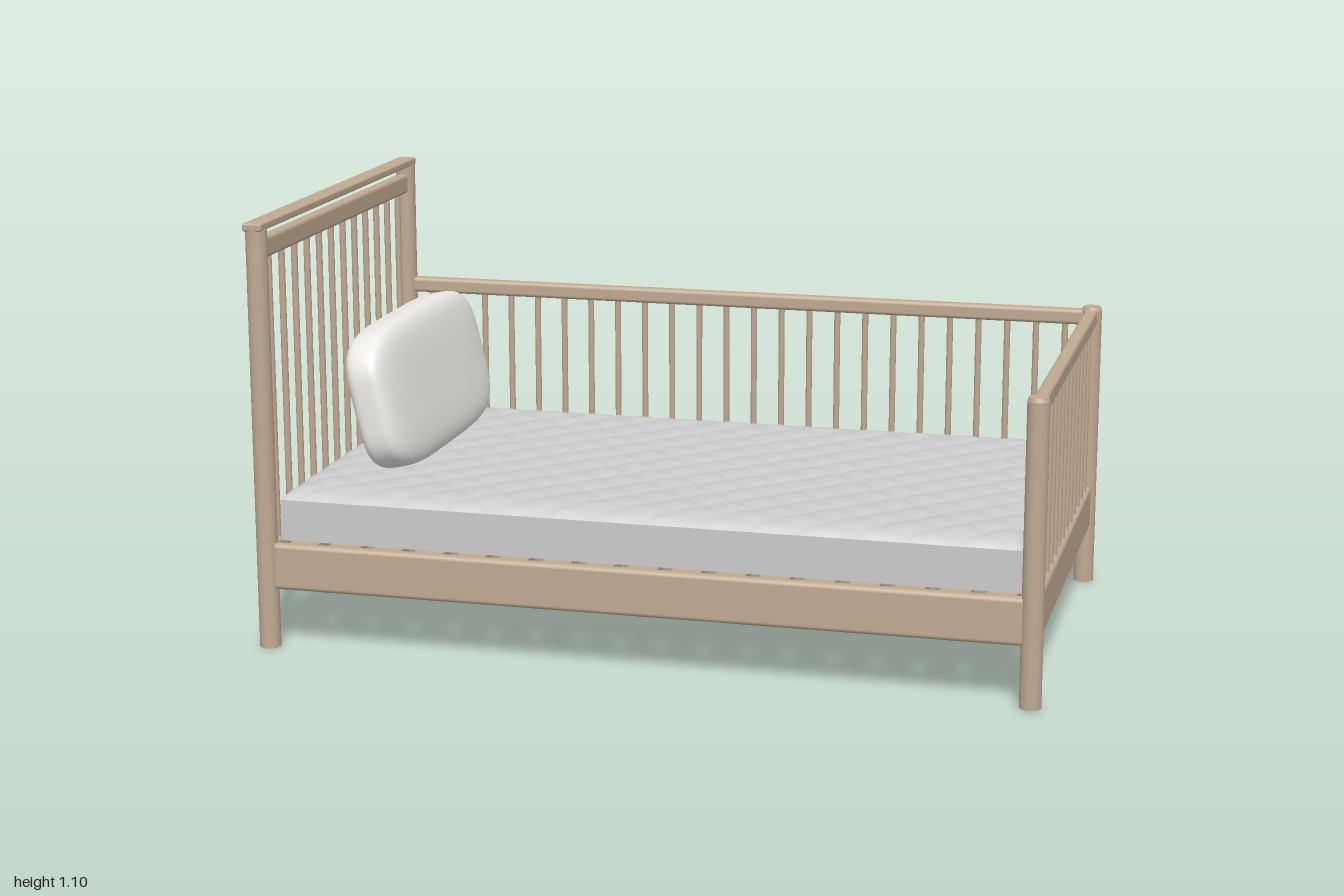
import * as THREE from 'three';
import { RoundedBoxGeometry } from 'three/addons/geometries/RoundedBoxGeometry.js';

export function createModel() {
  const bed = new THREE.Group();
  bed.name = 'bed';
  const wood = new THREE.MeshStandardMaterial({ color: 0xc0aa92 });
  const fabric = new THREE.MeshStandardMaterial({ color: 0xe4e4e1 });
  const linen = new THREE.MeshStandardMaterial({ color: 0xeceae6 });

  const add = (name, geometry, material, x, y, z) => {
    const mesh = new THREE.Mesh(geometry, material);
    mesh.name = name;
    mesh.position.set(x, y, z);
    bed.add(mesh);
    return mesh;
  };
  // Softly rounded bar, given by its centre in x and z and its y range
  const bar = (name, x, z, y0, y1, w, d, r = 0.008) =>
    add(name, new RoundedBoxGeometry(w, y1 - y0, d, 3, r), wood, x, (y0 + y1) / 2, z);
  const rod = (name, x, z, y0, y1, r, sides = 12) =>
    add(name, new THREE.CylinderGeometry(r, r, y1 - y0, sides), wood, x, (y0 + y1) / 2, z);

  const headX = -0.973, footX = 0.972, postZ = 0.545, sideZ = 0.546;

  // Round corner posts and the long lower rails
  for (const s of [-1, 1]) {
    rod('headPost', headX, s * postZ, 0, 1.078, 0.027, 32);
    rod('footPost', footX, s * postZ, 0, 0.755, 0.027, 32);
    const cap = rod('footPostCap', footX, s * postZ, 0.755, 0.765, 0.027, 32);
    cap.geometry.dispose();
    cap.geometry = new THREE.CylinderGeometry(0.023, 0.027, 0.01, 32);
    bar('lowerSideRail', 0, s * sideZ, 0.155, 0.275, 1.91, 0.032, 0.012);
  }

  // Headboard
  bar('headCap', -0.975, 0, 1.075, 1.095, 0.05, 1.144, 0.005);
  bar('headTopRail', headX, 0, 1.0, 1.055, 0.032, 1.05, 0.01);
  bar('headLowerRail', headX, 0, 0.155, 0.272, 0.032, 1.05, 0.012);
  for (let i = 0; i < 12; i++) {
    rod('headSpindle', headX, -0.473 + i * 0.086, 0.26, 1.01, 0.0085);
  }

  // Footboard
  bar('footTopRail', footX, 0, 0.715, 0.76, 0.034, 1.05, 0.01);
  bar('footLowerRail', footX, 0, 0.155, 0.272, 0.032, 1.05, 0.012);
  for (let i = 0; i < 13; i++) {
    rod('footSpindle', footX, -0.468 + i * 0.078, 0.26, 0.725, 0.0085);
  }

  // Guard rail along the back only
  bar('guardRail', 0, -sideZ, 0.715, 0.757, 1.91, 0.034, 0.01);
  for (let i = 0; i < 24; i++) {
    rod('guardSpindle', -0.9 + i * 0.0783, -sideZ, 0.26, 0.725, 0.0085);
  }

  // Slats under the mattress
  const slatCount = 17;
  for (let i = 0; i < slatCount; i++) {
    add('slat', new THREE.BoxGeometry(0.075, 0.018, 1.07), wood,
      -0.89 + (i * 1.78) / (slatCount - 1), 0.255, 0);
  }

  // Mattress: a box whose top is domed at the rim and quilted in diamonds
  const L = 1.89, W = 1.036;
  const mattress = new THREE.BoxGeometry(L, 0.106, W, 150, 1, 82);
  const p = mattress.attributes.position;
  for (let i = 0; i < p.count; i++) {
    if (p.getY(i) < 0) continue;
    const x = p.getX(i), z = p.getZ(i);
    const edge = Math.max(0, Math.min(L / 2 - Math.abs(x), W / 2 - Math.abs(z), 0.09) / 0.09);
    const rise = Math.sqrt(1 - (1 - edge) ** 2);
    const a = Math.sin((Math.PI * (x + z)) / 0.13), b = Math.sin((Math.PI * (x - z)) / 0.13);
    p.setY(i, 0.053 + rise * (0.02 + 0.009 * Math.sqrt(Math.abs(a * b))));
  }
  mattress.computeVertexNormals();
  add('mattress', mattress, fabric, 0, 0.327, 0);

  // Pillow: a sphere squared off into a cushion, leaning on the headboard
  const cushion = new THREE.SphereGeometry(1, 64, 40);
  const q = cushion.attributes.position;
  const square = (v, e) => Math.sign(v) * Math.abs(v) ** e;
  for (let i = 0; i < q.count; i++) {
    const t = q.getY(i), ring = Math.hypot(q.getX(i), q.getZ(i));
    const c = ring > 1e-6 ? q.getX(i) / ring : 0, s = ring > 1e-6 ? q.getZ(i) / ring : 0;
    const k = square(ring, 0.42);
    q.setXYZ(i, 0.068 * square(t, 0.5), -0.19 * k * square(c, 0.48), 0.4 * k * square(s, 0.48));
  }
  cushion.computeVertexNormals();
  const pillow = add('pillow', cushion, linen, -0.745, 0.596, 0);
  pillow.rotation.z = 0.23;

  return bed;
}
